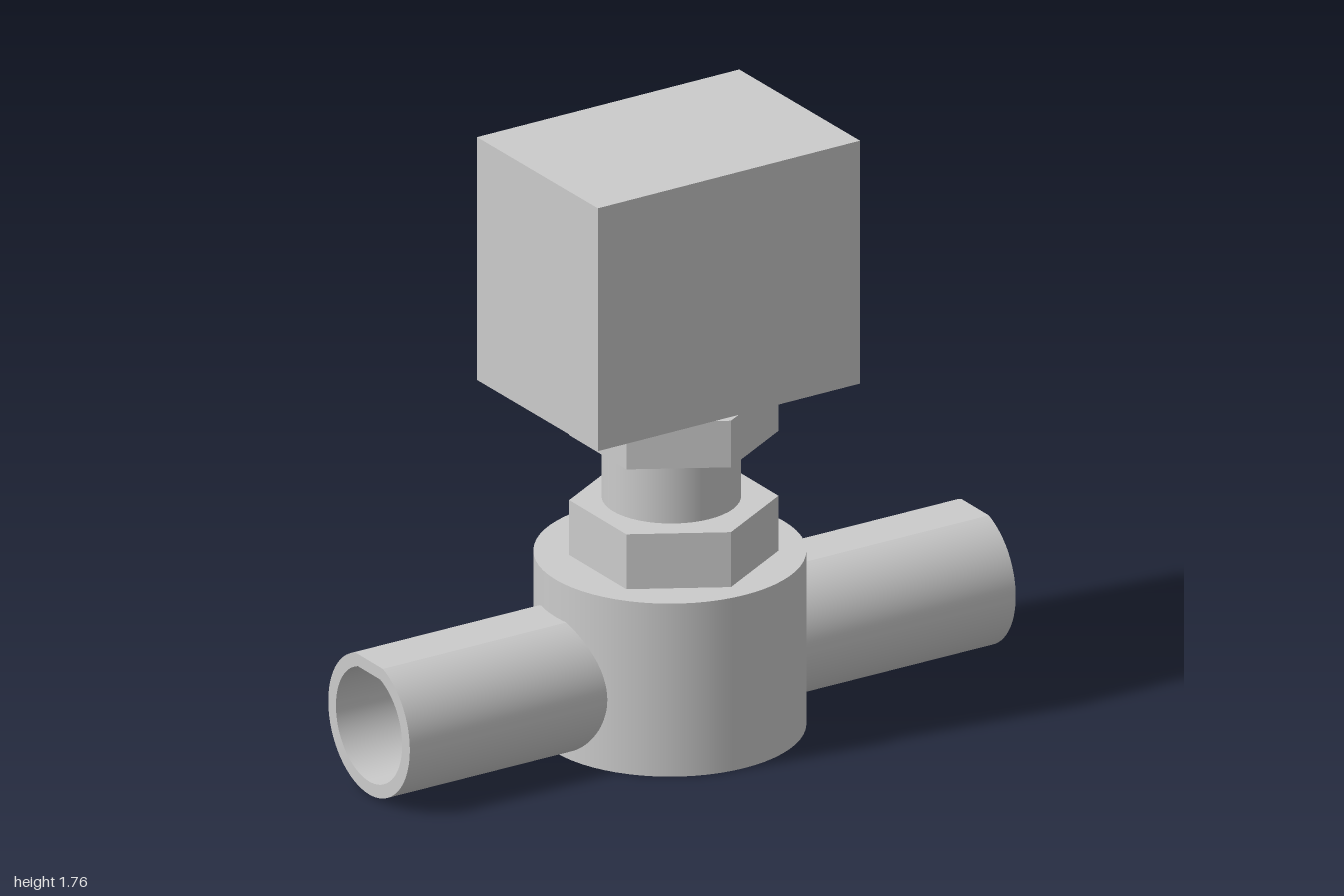
import * as THREE from 'three';
import { toCreasedNormals } from 'three/addons/utils/BufferGeometryUtils.js';

const AXIS_X = -0.02;
const FLAT = 0.345; // half angle of the flat along the top of the pipes

export function createModel() {
  const model = new THREE.Group();
  const material = new THREE.MeshStandardMaterial({ color: 0xcccccc });
  const faceted = new THREE.MeshStandardMaterial({ color: 0xcccccc, flatShading: true });

  function add(name, geometry, x, y, z, mat = material) {
    const mesh = new THREE.Mesh(geometry, mat);
    mesh.name = name;
    mesh.position.set(x, y, z);
    model.add(mesh);
    return mesh;
  }

  // Upright cylinder or prism between two heights
  function upright(name, radius, bottom, top, z, sides, mat) {
    const geometry = new THREE.CylinderGeometry(radius, radius, top - bottom, sides);
    return add(name, geometry, AXIS_X, (bottom + top) / 2, z, mat);
  }

  // Nearly full circle, closed by a short flat at the top
  function flattenedCircle(path, radius) {
    path.absarc(0, 0, radius, Math.PI / 2 + FLAT, Math.PI * 2.5 - FLAT, false);
    path.closePath();
    return path;
  }

  // Valve body, stem and the two hexagonal nuts
  upright('valveBody', 0.378, 0, 0.52, 0, 64);
  upright('stem', 0.193, 0.52, 1.03, 0.007, 48);
  upright('lowerNut', 0.29, 0.52, 0.685, 0.02, 6, faceted);
  upright('upperNut', 0.29, 0.88, 1.02, 0.02, 6, faceted);

  // Hollow pipes, running from the solid body out to each open end
  const ring = flattenedCircle(new THREE.Shape(), 0.207);
  ring.holes.push(flattenedCircle(new THREE.Path(), 0.168));
  for (const side of [-1, 1]) {
    const inner = AXIS_X + side * 0.3;
    const pipe = new THREE.ExtrudeGeometry(ring, {
      depth: Math.abs(side - inner), bevelEnabled: false, curveSegments: 44,
    });
    pipe.rotateY(side * Math.PI / 2);
    add(side > 0 ? 'leftPipe' : 'rightPipe', toCreasedNormals(pipe, 0.3), inner, 0.213, -0.02);
  }

  // Actuator housing, turned very slightly on the stem
  const housing = add('actuatorHousing', new THREE.BoxGeometry(0.87, 0.73, 0.606), -0.027, 1.395, 0.004);
  housing.rotation.y = 0.008;

  return model;
}
